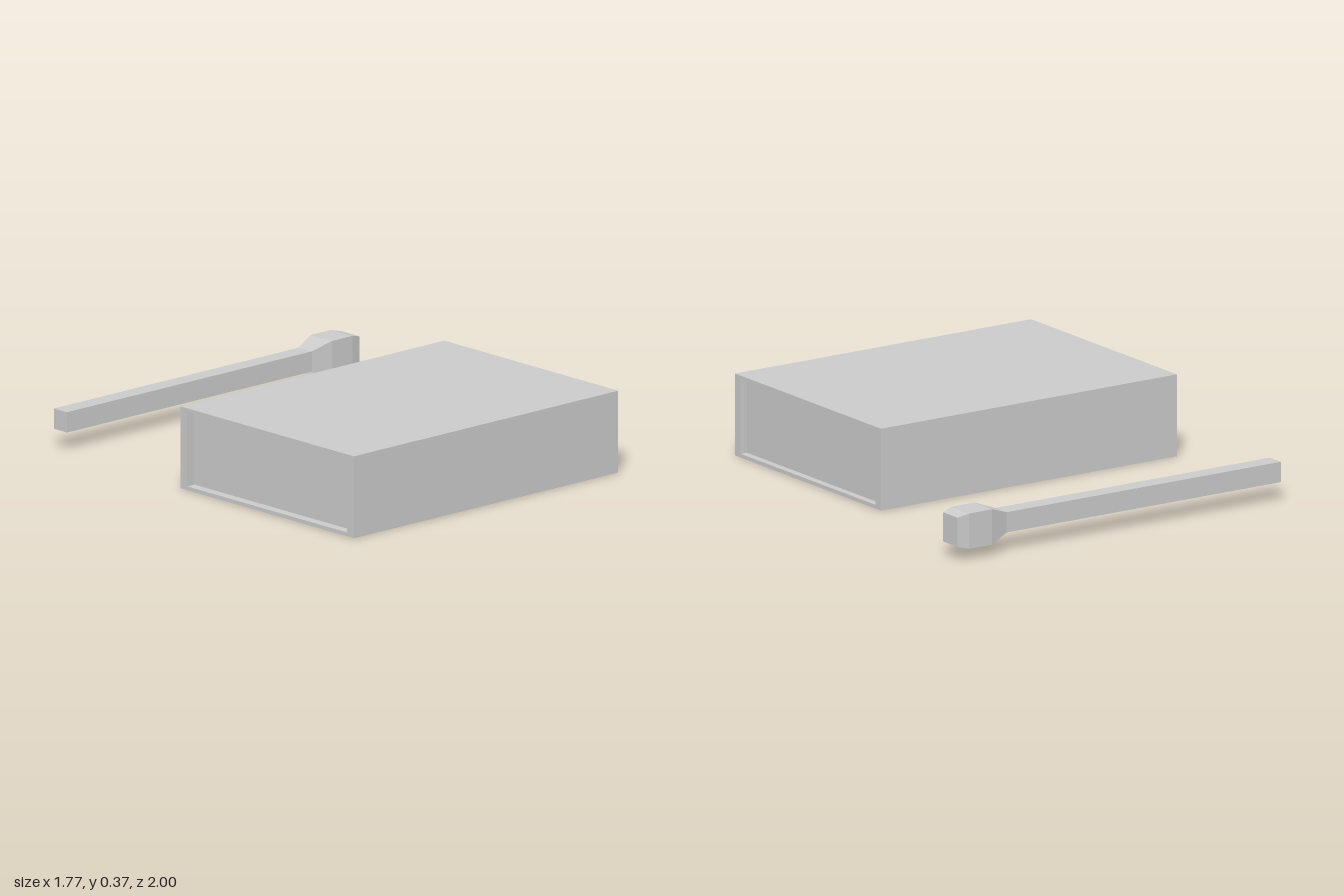
import * as THREE from 'three';

const grey = new THREE.MeshStandardMaterial({ color: 0xcccccc, flatShading: true });

function addMesh(parent, name, geometry) {
  const mesh = new THREE.Mesh(geometry, grey);
  mesh.name = name;
  parent.add(mesh);
  return mesh;
}

// Traces a rectangle centred on the origin
function rectangle(path, w, h) {
  path.moveTo(-w / 2, -h / 2);
  path.lineTo(w / 2, -h / 2);
  path.lineTo(w / 2, h / 2);
  path.lineTo(-w / 2, h / 2);
  path.closePath();
  return path;
}

// Open-ended sleeve with a slightly recessed tray inside
function createMatchbox() {
  const box = new THREE.Group();
  box.name = 'matchbox';
  const length = 1.572, height = 0.37, width = 1.112;
  const innerHeight = 0.336, innerWidth = 1.026;

  const profile = rectangle(new THREE.Shape(), width, height);
  profile.holes.push(rectangle(new THREE.Path(), innerWidth, innerHeight));
  const sleeve = new THREE.ExtrudeGeometry(profile, { depth: length, bevelEnabled: false });
  sleeve.translate(0, 0, -length / 2).rotateY(Math.PI / 2);
  addMesh(box, 'sleeve', sleeve);

  const tray = addMesh(box, 'tray', new THREE.BoxGeometry(length - 0.075, innerHeight, innerWidth));
  tray.position.x = 0.005;

  box.position.set(-0.104, height / 2, 0.444);
  return box;
}

// Square stick swelling into a faceted head
function createMatch() {
  // Stations along the match: x, height, depth
  const stations = [
    [-0.842, 0.092, 0.084],
    [0.615, 0.092, 0.084],
    [0.71, 0.16, 0.136],
    [0.832, 0.16, 0.136],
    [0.885, 0.132, 0.112],
  ];
  const last = stations.length - 1;
  const geometry = new THREE.BoxGeometry(1, 1, 1, last, 1, 1);
  const p = geometry.attributes.position;
  for (let i = 0; i < p.count; i++) {
    const [x, h, d] = stations[Math.round((p.getX(i) + 0.5) * last)];
    p.setXYZ(i, x, p.getY(i) * h, p.getZ(i) * d);
  }
  geometry.computeVertexNormals();

  const group = new THREE.Group();
  group.name = 'match';
  addMesh(group, 'matchstickWithHead', geometry);
  group.position.set(0, 0.13, -0.932);
  return group;
}

export function createModel() {
  const model = new THREE.Group();
  model.name = 'matchboxAndMatch';
  model.add(createMatchbox(), createMatch());
  return model;
}
